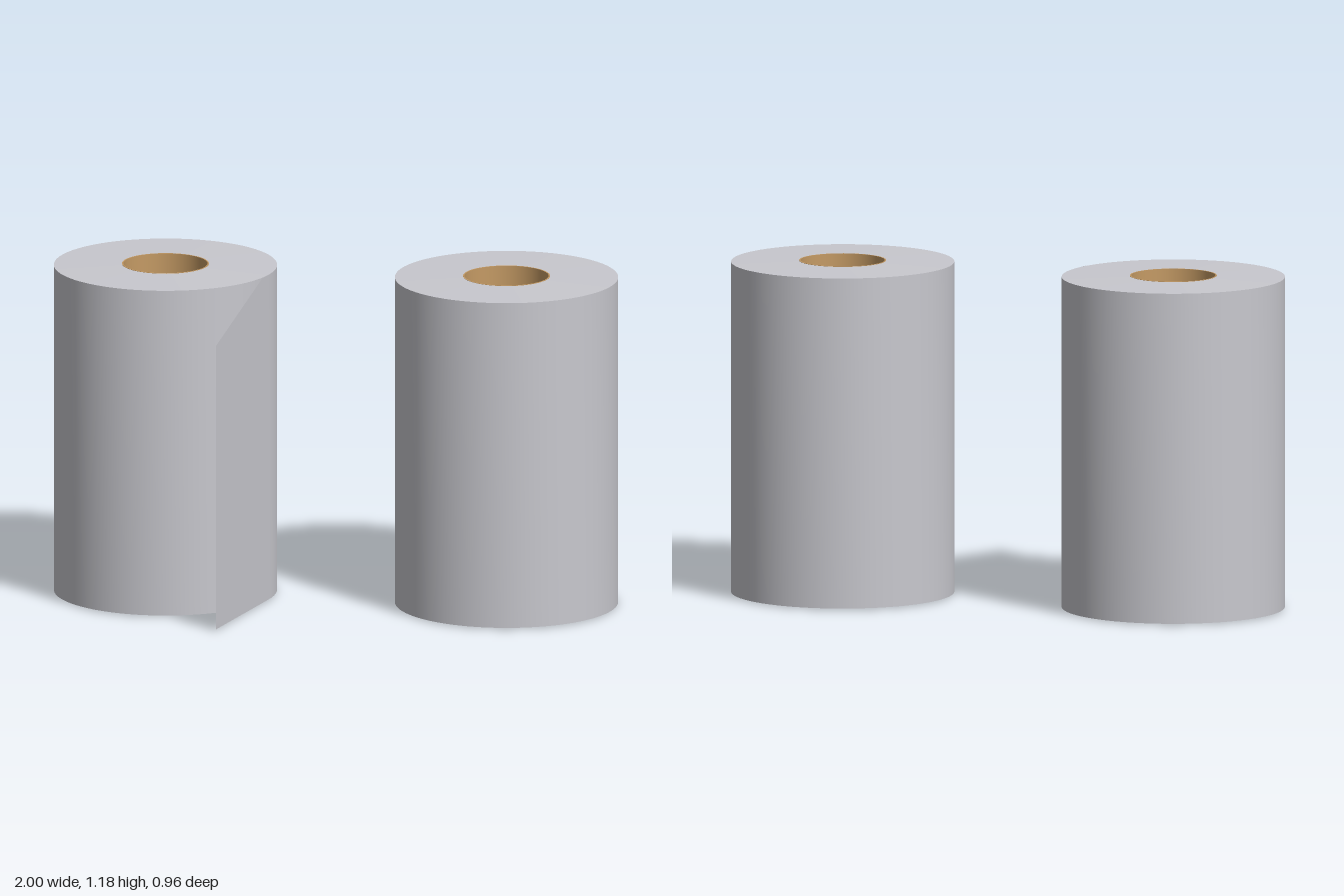
import * as THREE from 'three';
import { toCreasedNormals } from 'three/addons/utils/BufferGeometryUtils.js';

const RADIUS = 0.393, CORE = 0.153, HEIGHT = 1.185, ROLL_X = 0.607, ROLL_Z = -0.088;

const paper = new THREE.MeshStandardMaterial({ color: 0xc8c8ce, side: THREE.DoubleSide });
paper.name = 'paper';
const cardboard = new THREE.MeshStandardMaterial({ color: 0xc49a64 });
cardboard.name = 'cardboard';

// Turned part with crisp rims and smooth walls
function turned(name, profile, material) {
  const points = profile.map(([r, y]) => new THREE.Vector2(r, y));
  const geometry = toCreasedNormals(new THREE.LatheGeometry(points, 72), 0.6);
  const mesh = new THREE.Mesh(geometry, material);
  mesh.name = name;
  return mesh;
}

function makeRoll(name, x) {
  const roll = new THREE.Group();
  roll.name = name;
  // Wound paper, its ends bulging very slightly towards the core
  roll.add(turned('woundPaper', [
    [CORE, 0.001], [RADIUS, 0.005], [RADIUS, HEIGHT - 0.005], [CORE, HEIGHT - 0.001],
  ], paper));
  // Hollow cardboard tube
  roll.add(turned('coreTube', [
    [CORE, 0], [CORE, HEIGHT], [CORE - 0.005, HEIGHT], [CORE - 0.005, 0], [CORE, 0],
  ], cardboard));
  roll.position.set(x, 0, ROLL_Z);
  return roll;
}

// Loose end: a flat sheet leaving the roll on a tangent, torn at a slant
function makeLooseSheet() {
  const start = new THREE.Vector2(-0.225, 0.004);
  const end = new THREE.Vector2(-0.34, 0.48);
  const length = start.distanceTo(end);
  const shape = new THREE.Shape();
  shape.moveTo(0, 0.005);
  shape.lineTo(length, 0.005);
  shape.lineTo(length, 1.03);
  shape.lineTo(0.06, 1.18);
  shape.lineTo(0, 1.18);
  const sheet = new THREE.Mesh(new THREE.ShapeGeometry(shape), paper);
  sheet.name = 'looseSheet';
  sheet.position.set(start.x, 0, start.y);
  sheet.rotation.y = -Math.atan2(end.y - start.y, end.x - start.x);
  return sheet;
}

export function createModel() {
  const model = new THREE.Group();
  model.name = 'paperRolls';
  model.add(makeRoll('rightRoll', -ROLL_X), makeRoll('leftRoll', ROLL_X), makeLooseSheet());
  return model;
}
